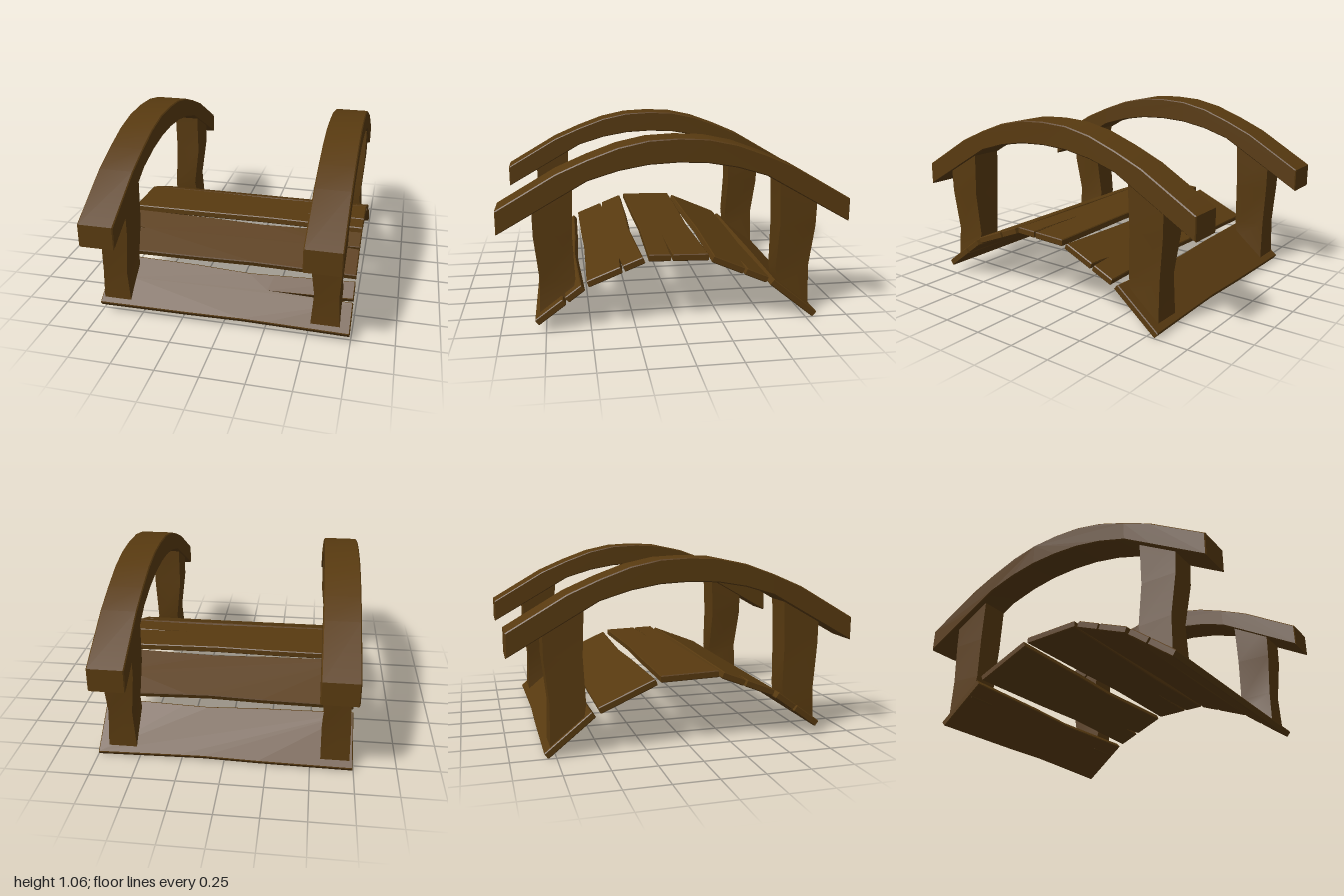
import * as THREE from 'three';
import { toCreasedNormals } from 'three/addons/utils/BufferGeometryUtils.js';

const wood = new THREE.MeshStandardMaterial({ color: 0x583a10 });
wood.name = 'dark wood';

function part(name, geometry, parent) {
  const mesh = new THREE.Mesh(geometry, wood);
  mesh.name = name;
  parent.add(mesh);
  return mesh;
}

// Extrusion centred on its depth, with a small worn edge
function slab(points, depth, bevel) {
  const shape = new THREE.Shape(points.map(([x, y]) => new THREE.Vector2(x, y)));
  const geo = new THREE.ExtrudeGeometry(shape, {
    depth: depth - 2 * bevel, bevelEnabled: true, bevelSegments: 1,
    bevelSize: bevel, bevelThickness: bevel, bevelOffset: -bevel,
  });
  return geo.translate(0, 0, bevel - depth / 2);
}

// Plank outline: waisted long edges, with optional splits in both ends
function plankOutline(width, frontInset, backInset, rightSplit, leftSplit) {
  const h = width / 2, e = 0.745;
  const pts = [[-e, -h], [-0.2, -h + frontInset * 0.4], [0.12, -h + frontInset],
    [0.27, -h + frontInset * 0.8], [e, -h]];
  if (rightSplit) {
    const [v, gap, tip] = rightSplit;
    pts.push([e, v - gap], [tip, v], [e, v + gap]);
  }
  pts.push([e, h], [0.27, h - backInset * 0.8], [0.12, h - backInset],
    [-0.2, h - backInset * 0.4], [-e, h]);
  if (leftSplit) {
    const [v, gap, tip] = leftSplit;
    pts.push([-e, v + gap], [tip, v], [-e, v - gap]);
  }
  return pts;
}

// Deck planks: front and back ends as [z, y] along the middle of the thickness
const planks = [
  { front: [0.80, 0.07], back: [0.54, 0.262], inset: [0.008, 0.025],
    right: [0.04, 0.009, 0.25], left: [0.02, 0.007, -0.6] },
  { front: [0.515, 0.28], back: [0.2, 0.405], inset: [0.012, 0.02],
    right: [0.04, 0.008, 0.6], left: [0.02, 0.007, -0.62] },
  { front: [0.175, 0.415], back: [-0.165, 0.405], inset: [0.013, 0.016],
    right: [-0.04, 0.006, 0.36] },
  { front: [-0.19, 0.392], back: [-0.512, 0.252], inset: [0.02, 0.018],
    right: [0.03, 0.008, 0.6] },
  { front: [-0.542, 0.235], back: [-0.805, 0.022], inset: [0.02, 0.012] },
];

// Post levels from bottom to top: [inner z, inner y, outer z, outer y]
const postSide = [
  [0.6, 0.2, 0.782, 0.09], [0.58, 0.29, 0.777, 0.3],
  [0.592, 0.55, 0.803, 0.55], [0.58, 0.86, 0.806, 0.74],
];
const postLeft = [[0.518, 0.688], [0.534, 0.674], [0.506, 0.69], [0.504, 0.692]];
const postRight = [[-0.726, -0.558], [-0.72, -0.574], [-0.706, -0.542], [-0.704, -0.54]];

// A box whose rings are moved onto the bent post levels; side is 1 front, -1 back
function postGeometry(xs, side) {
  const geo = new THREE.BoxGeometry(1, 1, 1, 1, 3, 1);
  const p = geo.attributes.position;
  for (let i = 0; i < p.count; i++) {
    const row = Math.round((p.getY(i) + 0.5) * 3);
    const t = side * p.getZ(i) + 0.5;
    const [zi, yi, zo, yo] = postSide[row];
    const drop = side < 0 && row === 0 ? 0.04 : 0;
    p.setXYZ(i, xs[row][p.getX(i) > 0 ? 1 : 0],
      THREE.MathUtils.lerp(yi, yo, t) - drop, side * THREE.MathUtils.lerp(zi, zo, t));
  }
  return toCreasedNormals(geo, 0.4);
}

// Arched handrail profile, as [z, y] of one half
const railTop = [[1, 0.703], [0.67, 0.895], [0.5, 0.968], [0.33, 1.03], [0.165, 1.065]];
const railBottom = [[1, 0.568], [0.67, 0.755], [0.5, 0.852], [0.33, 0.903], [0.165, 0.932]];

function railGeometry() {
  const flip = ([z, y]) => [-z, y];
  const arch = (half, mid) => [...half, [0, mid], ...half.map(flip).reverse()];
  const outline = [...arch(railBottom, 0.94), ...arch(railTop, 1.073).reverse()];
  const geo = slab(outline.map(flip), 0.207, 0.006);
  // profile x becomes -z, so the extrusion runs along x
  return toCreasedNormals(geo.rotateY(Math.PI / 2), 0.4);
}

export function createModel() {
  const model = new THREE.Group();
  model.name = 'footbridge';

  const deck = new THREE.Group();
  deck.name = 'deck';
  model.add(deck);
  for (const { front, back, inset, right, left } of planks) {
    const dz = front[0] - back[0], dy = back[1] - front[1];
    const geo = slab(plankOutline(Math.hypot(dz, dy), ...inset, right, left), 0.04, 0.005);
    geo.rotateX(-Math.PI / 2);
    const plank = part('plank', toCreasedNormals(geo, 0.4), deck);
    plank.rotation.x = Math.atan2(dy, dz);
    plank.position.set(0, (front[1] + back[1]) / 2, (front[0] + back[0]) / 2);
  }

  // Each side: an arched handrail on two posts
  for (const [name, x, xs] of [['left', 0.598, postLeft], ['right', -0.637, postRight]]) {
    const railing = new THREE.Group();
    railing.name = name + 'Railing';
    model.add(railing);
    part('handrail', railGeometry(), railing).position.x = x;
    part('frontPost', postGeometry(xs, 1), railing);
    part('backPost', postGeometry(xs, -1), railing);
  }
  return model;
}
